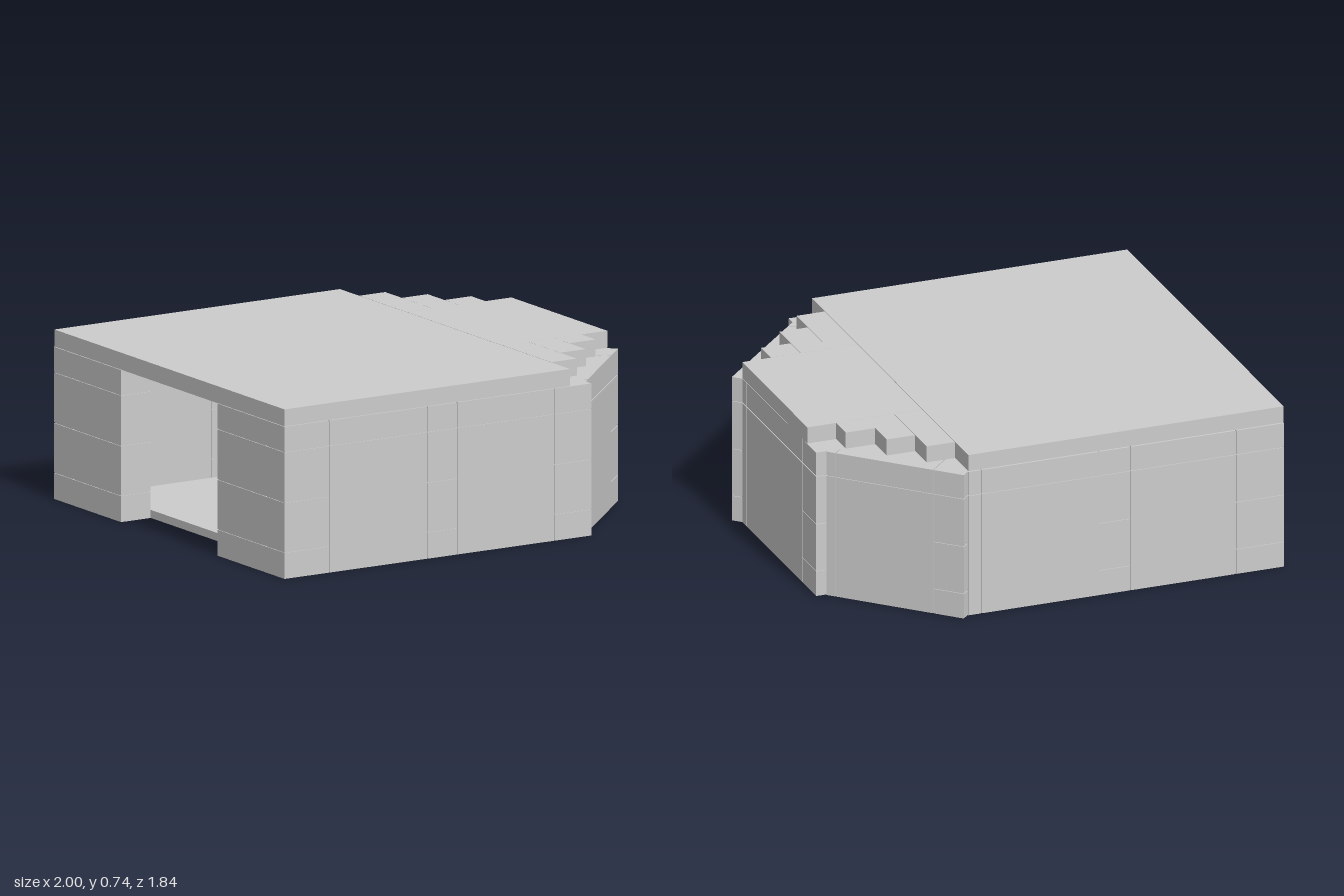
import * as THREE from 'three';

const T = 0.15;      // wall thickness
const H = 0.662;     // wall height
const GAP = 0.004;   // joint between wall blocks
const PILLAR = [0, 0.115, 0.332, 0.552, H];
const PANEL = [0, 0.552, H];

export function createModel() {
  const model = new THREE.Group();
  model.name = 'cutCornerRoom';
  const stone = new THREE.MeshStandardMaterial({ color: 0xcccccc });
  stone.name = 'paleGrey';

  // box given by its low and high corners
  function box(parent, name, [x0, y0, z0], [x1, y1, z1]) {
    const mesh = new THREE.Mesh(new THREE.BoxGeometry(x1 - x0, y1 - y0, z1 - z0), stone);
    mesh.position.set((x0 + x1) / 2, (y0 + y1) / 2, (z0 + z1) / 2);
    mesh.name = name;
    parent.add(mesh);
    return mesh;
  }

  // wall running from (x, z), its outer face towards local +z
  // stops: positions of the vertical joints; kinds: p = pillar, w = panel
  function wall(name, x, z, degrees, stops, kinds) {
    const g = new THREE.Group();
    g.name = name;
    g.position.set(x, 0, z);
    g.rotation.y = THREE.MathUtils.degToRad(degrees);
    const length = stops[stops.length - 1];
    box(g, 'wallCore', [GAP, 0, -T + GAP], [length - GAP, H - GAP, -GAP]);
    [...kinds].forEach((kind, i) => {
      const a = stops[i] + (i ? GAP / 2 : 0);
      const b = stops[i + 1] - (i < kinds.length - 1 ? GAP / 2 : 0);
      const rows = kind === 'p' ? PILLAR : PANEL;
      for (let r = 0; r < rows.length - 1; r++) {
        const low = rows[r] + (r ? GAP / 2 : 0);
        const high = rows[r + 1] - (r < rows.length - 2 ? GAP / 2 : 0);
        box(g, kind === 'p' ? 'pillarBlock' : 'wallPanel', [a, low, -T], [b, high, 0]);
      }
    });
    model.add(g);
  }

  wall('frontWall', -1, 0.92, 0, [0, 0.225, 0.72, 0.87, 1.36, 1.545], 'pwpwp');
  wall('frontCornerWall', 0.545, 0.875, 45, [0, 0.042, 0.502, 0.643], 'wwp');
  wall('rightWall', 0.965, 0.39, 90, [0, 0.05, 0.70, 0.86], 'wwp');
  wall('backCornerWall', 0.92, -0.475, 135, [0, 0.042, 0.495, 0.636], 'wwp');
  wall('backWall', 0.44, -0.9, 180, [0, 0.06, 0.595, 0.74, 1.22, 1.44], 'wwpwp');
  // short walls either side of the doorway
  wall('doorwayWallBack', -1, -0.75, 270, [0, 0.38], 'p');
  wall('doorwayWallFront', -1, 0.39, 270, [0, 0.38], 'p');

  // floor slab, set back at the doorway
  const outline = [[-0.85, 0.85], [0.5, 0.85], [0.9, 0.42], [0.93, -0.42], [0.46, -0.86], [-0.85, -0.86]];
  const shape = new THREE.Shape(outline.map(([x, z]) => new THREE.Vector2(x, -z)));
  const floorGeometry = new THREE.ExtrudeGeometry(shape, { depth: 0.035, bevelEnabled: false });
  floorGeometry.rotateX(-Math.PI / 2);
  const floor = new THREE.Mesh(floorGeometry, stone);
  floor.name = 'floor';
  model.add(floor);

  // flat roof with stepped slabs over the cut corners
  const y0 = H + 0.002, y1 = 0.738;
  box(model, 'mainRoof', [-1, y0, -0.895], [0.438, y1, 0.92]);
  box(model, 'rightRoof', [0.44, y0, -0.368], [0.965, y1, 0.388]);
  [[0.44, 0.57, -0.743, 0.768], [0.57, 0.70, -0.612, 0.635], [0.70, 0.835, -0.48, 0.502]].forEach(
    ([a, b, back, front]) => {
      box(model, 'roofStepBack', [a, y0, back], [b - 0.001, y1, -0.369]);
      box(model, 'roofStepFront', [a, y0, 0.389], [b - 0.001, y1, front]);
    });

  // low bench inside the doorway
  const bench = new THREE.Group();
  bench.name = 'bench';
  box(bench, 'benchSeat', [-0.64, 0.1, 0.25], [-0.55, 0.135, 0.53]);
  for (const z of [0.31, 0.47]) {
    for (const side of [-1, 1]) {
      const leg = box(bench, 'benchLeg', [-0.605, 0.03, z], [-0.585, 0.11, z + 0.02]);
      leg.position.x += side * 0.025;
      leg.rotation.z = side * 0.35;
    }
  }
  model.add(bench);

  return model;
}
